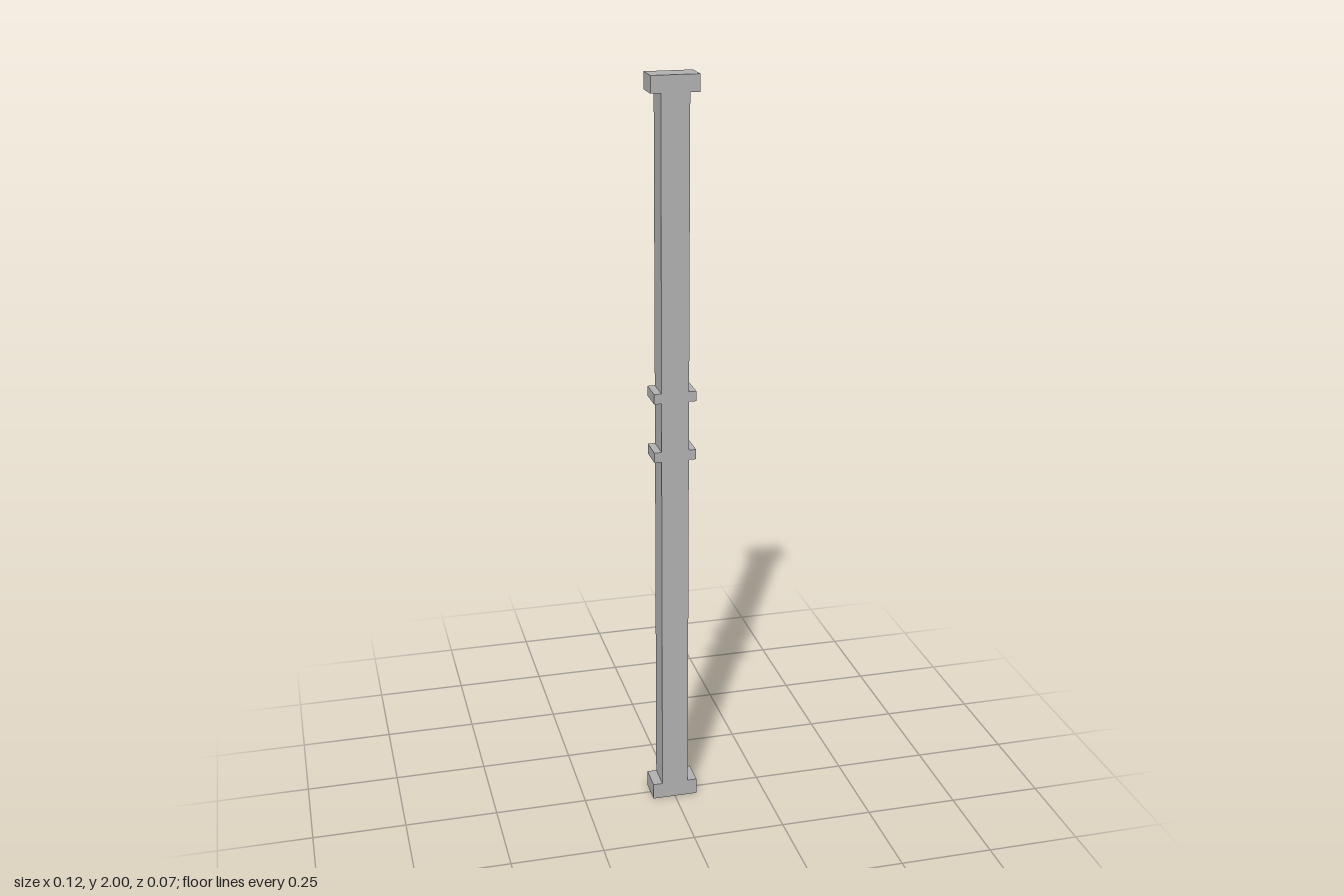
import * as THREE from 'three';

const DEPTH = 0.073;
const SHAFT = 0.0365; // half width of the shaft

// Flanges from bottom to top: [name, half width, bottom, top]
const FLANGES = [
  ['base', 0.062, 0, 0.045],
  ['lowerBand', 0.056, 1.01, 1.037],
  ['upperBand', 0.056, 1.17, 1.197],
  ['cap', 0.062, 1.957, 2],
];

export function createModel() {
  const group = new THREE.Group();
  group.name = 'post';
  const grey = new THREE.MeshStandardMaterial({ color: 0xb0b0b0 });
  grey.name = 'grey';

  // Stepped right-hand edge, then mirrored down the left
  const right = FLANGES.flatMap(([, w, bottom, top]) => [
    [SHAFT, bottom], [w, bottom], [w, top], [SHAFT, top],
  ]).slice(1, -1);
  const left = right.map(([x, y]) => [-x, y]).reverse();
  const outline = [...right, ...left].map(([x, y]) => new THREE.Vector2(x, y));

  // One solid column with its base, bands and cap
  const geometry = new THREE.ExtrudeGeometry(new THREE.Shape(outline), {
    depth: DEPTH,
    bevelEnabled: false,
  });
  geometry.translate(0, 0, -DEPTH / 2);
  const column = new THREE.Mesh(geometry, grey);
  column.name = 'bandedColumn';
  group.add(column);
  return group;
}
